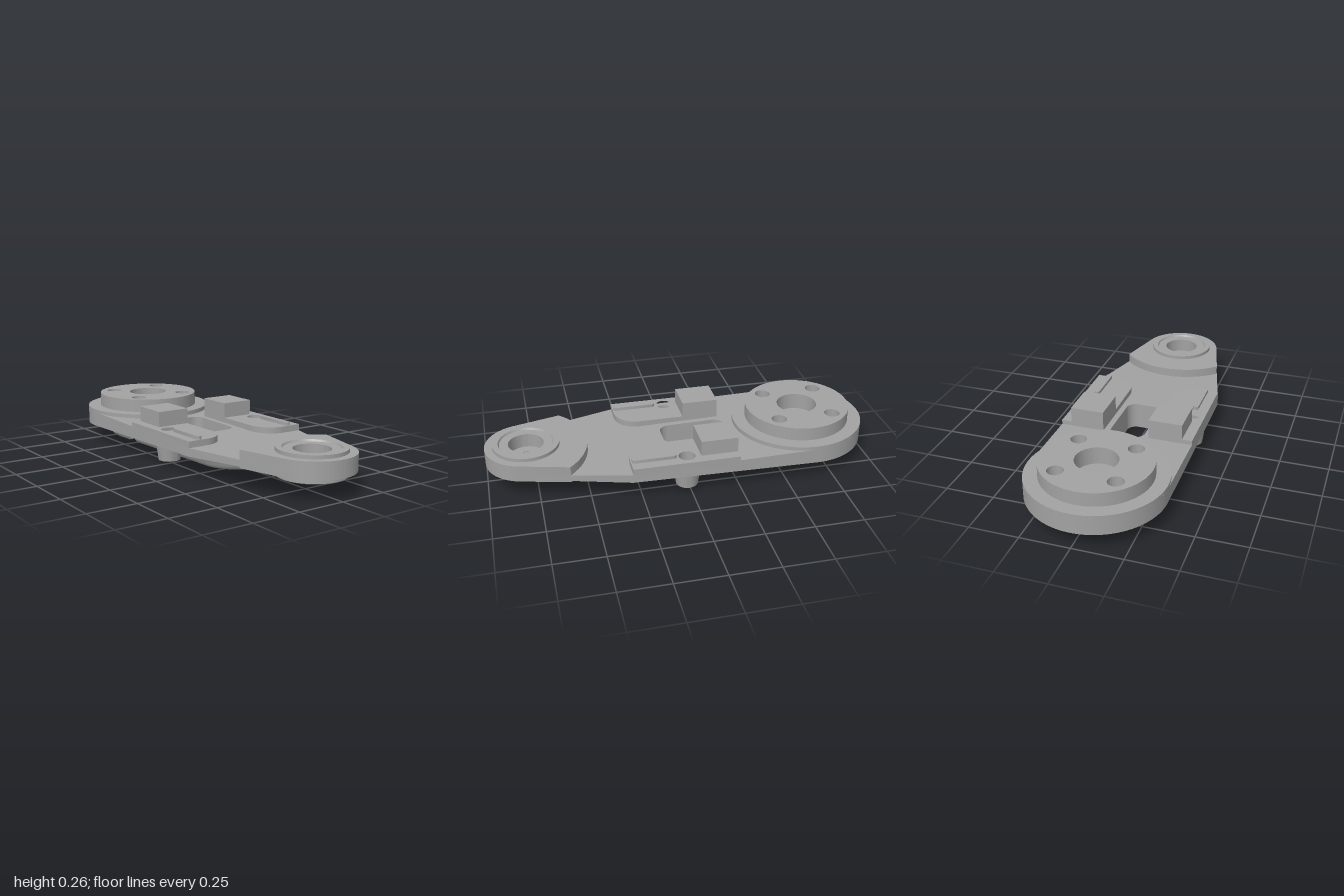
import * as THREE from 'three';
import { toCreasedNormals } from 'three/addons/utils/BufferGeometryUtils.js';

const metal = new THREE.MeshStandardMaterial({ color: 0xa2a2a2 });
metal.name = 'grey metal';

const BIG = -0.655, TAIL = 0.79;              // centres of the two round ends
const SLOPE = 0.018;                          // the underside rises towards the tail
const rise = (x) => SLOPE * (x + 0.95);
const BOLTS = [[-0.8, 0.145], [-0.8, -0.145], [-0.51, 0.145], [-0.51, -0.145]];
const PINS = [[0.015, 0.277], [0.015, -0.277]];

function add(group, name, geometry) {
  const mesh = new THREE.Mesh(toCreasedNormals(geometry, 0.6), metal);
  mesh.name = name;
  group.add(mesh);
  return mesh;
}

const circle = (x, z, r) => new THREE.Path().absarc(x, z, r, 0, Math.PI * 2, true);
const disc = (x, z, r) => new THREE.Shape().absarc(x, z, r, 0, Math.PI * 2, false);

// Upright slab from a plan shape, with holes
function slab(shape, y0, y1, holes = []) {
  shape.holes.push(...holes);
  const g = new THREE.ExtrudeGeometry(shape, { depth: y1 - y0, bevelEnabled: false, curveSegments: 40 });
  return g.rotateX(-Math.PI / 2).translate(0, y0, 0);
}

function box(x0, x1, y0, y1, z0, z1) {
  return new THREE.BoxGeometry(x1 - x0, y1 - y0, z1 - z0)
    .translate((x0 + x1) / 2, (y0 + y1) / 2, (z0 + z1) / 2);
}

// Skin between closed loops of points, from the lowest loop up
function loft(loops) {
  const n = loops[0].length, index = [];
  for (let j = 0; j < loops.length - 1; j++) {
    for (let i = 0; i < n; i++) {
      const a = j * n + i, b = j * n + (i + 1) % n, c = a + n, d = b + n;
      index.push(a, c, b, b, c, d);
    }
  }
  const g = new THREE.BufferGeometry().setFromPoints(loops.flat());
  g.setIndex(index);
  return g;
}

function slotPath() {
  const x0 = -0.26, x1 = 0.085, w = 0.09, r = 0.05, q = Math.PI / 2;
  return new THREE.Path()
    .absarc(x1 - r, w - r, r, 0, q)
    .absarc(x0 + r, w - r, r, q, 2 * q)
    .absarc(x0 + r, r - w, r, 2 * q, 3 * q)
    .absarc(x1 - r, r - w, r, 3 * q, 4 * q)
    .closePath();
}

// Plan outline of the whole arm
function armShape() {
  const s = new THREE.Shape();
  s.moveTo(0.3, 0.345);
  s.lineTo(BIG, 0.345);
  s.absarc(BIG, 0, 0.345, Math.PI / 2, Math.PI * 1.5, false);
  s.lineTo(0.3, -0.345);
  s.absarc(TAIL, 0, 0.21, -1.31, 1.31, false);
  s.closePath();
  return s;
}

// Rounded-end loop at offset R, with the bolt pockets and pin holes cut into it
const CORE_END = 0.22;
function bellyLoop(R) {
  const N = 160, base = [];
  for (let k = 0; k < 4 * N; k++) {
    const seg = Math.floor(k / N), f = (k % N) / N;
    const x = [CORE_END, CORE_END + (BIG - CORE_END) * f, BIG, BIG + (CORE_END - BIG) * f][seg];
    const a = [-Math.PI / 2 + Math.PI * f, Math.PI / 2, Math.PI / 2 + Math.PI * f, -Math.PI / 2][seg];
    base.push([x, Math.cos(a), Math.sin(a)]);
  }
  const pts = base.map(([x, c, s]) => new THREE.Vector2(x + c * R, s * R));
  const cuts = [...BOLTS.map((c) => [...c, 0.065]), ...PINS.map((c) => [...c, 0.042])];
  for (const [cx, cz, r] of cuts) {
    const qx = THREE.MathUtils.clamp(cx, BIG, CORE_END);
    const D = Math.hypot(cx - qx, cz), nx = (cx - qx) / D, nz = cz / D;
    const d = R - D;
    if (d <= -r) continue;
    const run = [];
    base.forEach(([x, c, s], i) => {
      if (Math.hypot(x + c * 0.25 - qx - nx * 0.25, (s - nz) * 0.25) < 0.09) run.push(i);
    });
    const start = Math.acos(Math.min(1, d / r));
    const last = run.length - 1;
    run.forEach((i, k) => {
      const t = THREE.MathUtils.clamp((k - 1) / (last - 2), 0, 1);
      const phi = start + (2 * Math.PI - 2 * start) * t;
      const edge = k === 0 || k === last;
      const u = edge && d > r ? d : r * Math.cos(phi), v = -r * Math.sin(phi);
      pts[i].set(cx + u * nx - v * nz, cz + u * nz + v * nx);
    });
  }
  return pts;
}

function buildBelly(group) {
  // Offset and height of the flared side
  const profile = [[0.17, 0], [0.182, 0.002], [0.191, 0.008], [0.197, 0.018], [0.201, 0.03], [0.207, 0.043],
    [0.216, 0.056], [0.228, 0.068], [0.243, 0.078], [0.26, 0.085], [0.28, 0.089], [0.31, 0.092]];
  const loops = profile.map(([R, y]) => bellyLoop(R).map((p) => new THREE.Vector3(p.x, y + rise(p.x), p.y)));
  add(group, 'bellySide', loft(loops));

  // Flat bottom with the slot
  const shape = new THREE.Shape(bellyLoop(profile[0][0]));
  shape.holes.push(slotPath());
  const cap = new THREE.ShapeGeometry(shape, 12).rotateX(Math.PI / 2);
  const pos = cap.attributes.position;
  for (let i = 0; i < pos.count; i++) pos.setY(i, rise(pos.getX(i)));
  add(group, 'bellyBottom', cap);

  // Slot walls, facing into the slot
  const ring = slotPath().getPoints(12).reverse();
  add(group, 'slotWall', loft([0, 0.1].map((y) => ring.map((p) => new THREE.Vector3(p.x, y + rise(p.x), p.y)))));
}

export function createModel() {
  const group = new THREE.Group();
  group.name = 'arm';

  // Main plate: both faces slope gently along its length
  const plate = slab(armShape(), 0, 1, [slotPath(), circle(TAIL, 0, 0.1),
    ...[...BOLTS, ...PINS].map(([x, z]) => circle(x, z, 0.041))]);
  const pos = plate.attributes.position;
  for (let i = 0; i < pos.count; i++) {
    const x = pos.getX(i);
    pos.setY(i, pos.getY(i) > 0.5 ? 0.159 - 0.018 * x : 0.088 + rise(x));
  }
  plate.computeVertexNormals();
  add(group, 'plate', plate);
  buildBelly(group);

  // Large round end: low base and raised mount with a blind bore
  const mountHoles = () => [circle(BIG, 0, 0.105), ...BOLTS.map(([x, z]) => circle(x, z, 0.04))];
  add(group, 'mountBase', slab(disc(BIG, 0, 0.345), 0.11, 0.188, mountHoles()));
  add(group, 'mountDisc', slab(disc(BIG, 0, 0.275), 0.188, 0.258, mountHoles()));

  // Tail pad with a curved inner edge
  const pad = new THREE.Shape();
  pad.moveTo(0.6, -0.266);
  pad.absarc(TAIL, 0, 0.21, -1.31, 1.31, false);
  pad.lineTo(0.6, 0.266);
  pad.absarc(0.844, 0, 0.364, Math.PI - 0.82, Math.PI + 0.82, false);
  add(group, 'tailPad', slab(pad, 0.108, 0.195, [circle(TAIL, 0, 0.1)]));

  // Stepped bushing through the tail
  const bush = [[0.04, 0.1], [0.075, 0.1], [0.075, 0.078], [0.16, 0.078], [0.17, 0.083], [0.17, 0.213], [0.14, 0.213],
    [0.135, 0.203], [0.09, 0.203], [0.09, 0.13], [0.04, 0.13], [0.04, 0.1]].map((p) => new THREE.Vector2(...p));
  add(group, 'tailBushing', new THREE.LatheGeometry(bush, 64)).position.x = TAIL;

  for (const s of [1, -1]) {
    // Side pad with one rounded inner corner
    const p = new THREE.Shape();
    p.moveTo(-0.245, s * 0.345);
    p.lineTo(-0.245, s * 0.12);
    p.lineTo(0.18, s * 0.12);
    p.absarc(0.18, s * 0.24, 0.12, -s * Math.PI / 2, 0, s < 0);
    p.lineTo(0.3, s * 0.345);
    add(group, 'sidePad', slab(p, 0.14, 0.186, [circle(0.015, s * 0.277, 0.042)]));

    // Upright block and slim rib on the pad
    const zs = [s * 0.12, s * 0.293].sort((a, b) => a - b);
    add(group, 'block', box(-0.245, -0.055, 0.15, 0.265, ...zs));
    const rib = new THREE.Shape();
    rib.absarc(0.085, s * 0.277, 0.015, Math.PI / 2, Math.PI * 1.5, false);
    rib.absarc(0.28, s * 0.277, 0.015, -Math.PI / 2, Math.PI / 2, false);
    add(group, 'rib', slab(rib, 0.18, 0.203));

    // Hollow pin boss below the plate
    const boss = [[0.042, 0.03], [0.056, 0.03], [0.068, 0.115], [0.042, 0.115], [0.042, 0.03]]
      .map((q) => new THREE.Vector2(...q));
    add(group, 'pinBoss', new THREE.LatheGeometry(boss, 40)).position.set(0.015, 0, s * 0.277);
  }
  return group;
}
